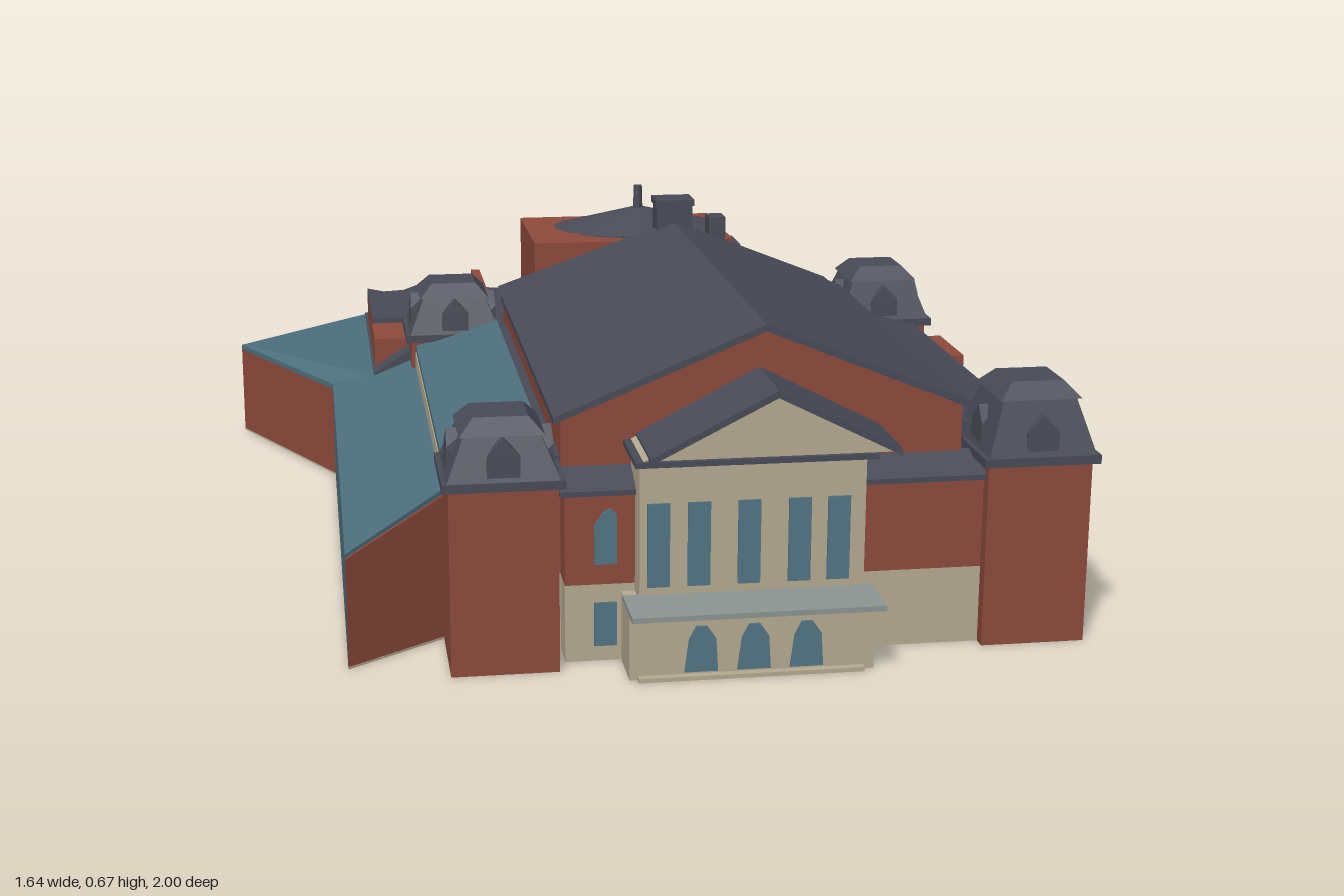
import * as THREE from 'three';
import { ConvexGeometry } from 'three/addons/geometries/ConvexGeometry.js';

const mat = (name, color) => Object.assign(new THREE.MeshStandardMaterial({ color }), { name });

export function createModel() {
  const root = new THREE.Group();
  root.name = 'hall';
  const brick = mat('brick red', 0x8e4b3c);
  const cream = mat('cream stone', 0xb7ac92);
  const slate = mat('slate roof', 0x494c58);
  const teal = mat('teal roof', 0x4c6f7c);
  const glass = mat('window glass', 0x527685);
  const stone = mat('grey stone', 0x8d9693);

  const add = (name, geometry, material, parent = root) => {
    const mesh = new THREE.Mesh(geometry, material);
    mesh.name = name;
    parent.add(mesh);
    return mesh;
  };
  // Box given by its limits on each axis
  const box = (name, m, x0, x1, y0, y1, z0, z1, parent) =>
    add(name, new THREE.BoxGeometry(x1 - x0, y1 - y0, z1 - z0)
      .translate((x0 + x1) / 2, (y0 + y1) / 2, (z0 + z1) / 2), m, parent);
  // Ground plan of [x, z] points raised from y0 to y1
  const plan = (name, m, pts, y0, y1, holes = []) => {
    const flip = (list) => list.map(([x, z]) => new THREE.Vector2(x, -z));
    const shape = new THREE.Shape(flip(pts));
    holes.forEach((h) => shape.holes.push(new THREE.Path(flip(h))));
    const g = new THREE.ExtrudeGeometry(shape, { depth: y1 - y0, bevelEnabled: false });
    return add(name, g.rotateX(-Math.PI / 2).translate(0, y0, 0), m);
  };
  // Cross-section of [x, y] points drawn along z
  const section = (name, m, pts, z0, z1) => {
    const shape = new THREE.Shape(pts.map(([x, y]) => new THREE.Vector2(x, y)));
    const g = new THREE.ExtrudeGeometry(shape, { depth: z1 - z0, bevelEnabled: false });
    return add(name, g.translate(0, 0, z0), m);
  };
  const hull = (name, m, pts) =>
    add(name, new ConvexGeometry(pts.map((p) => new THREE.Vector3(...p))), m);
  const faceted = (g) => {
    const flat = g.toNonIndexed();
    flat.computeVertexNormals();
    return flat;
  };
  // Square frustum with half widths
  const frustum = (name, m, bottom, top, y0, y1, parent) =>
    add(name, faceted(new THREE.CylinderGeometry(top * Math.SQRT2, bottom * Math.SQRT2, y1 - y0, 4)
      .rotateY(Math.PI / 4).translate(0, (y0 + y1) / 2, 0)), m, parent);

  // Curved apse and scalloped rear outline
  const apse = [];
  for (let i = 0; i <= 16; i++) {
    const a = (Math.PI * i) / 16;
    apse.push([0.15 + 0.28 * Math.cos(a), -0.64 - 0.285 * Math.sin(a)]);
  }
  const rearLeft = [[-0.13, -0.86], [-0.19, -0.87], [-0.25, -0.93], [-0.37, -0.93],
    [-0.41, -0.87], [-0.46, -0.86], [-0.5, -0.9]];
  const footprint = [[-0.5, -0.4], [-0.4, -0.4], [-0.4, 0.76], [-0.2, 0.76], [-0.2, 0.83], [0.59, 0.83],
    [0.59, 0.76], [0.74, 0.76], [0.74, 0.67], [0.82, 0.67], [0.82, 0.48], [0.74, 0.48],
    [0.74, -0.06], [0.82, -0.06], [0.82, -0.25], [0.74, -0.25], [0.74, -0.4], [0.6, -0.4],
    [0.6, -0.89], [0.47, -0.92], [0.43, -0.87], ...apse, ...rearLeft];
  const courts = [-0.09, 0.35].map((x) =>
    [[x, -0.53], [x + 0.065, -0.53], [x + 0.065, -0.41], [x, -0.41]]);
  plan('groundFloorWalls', cream, footprint, 0, 0.15, courts);
  plan('upperWalls', brick, footprint, 0.15, 0.33, courts);
  plan('rearRoof', slate, [[0.43, -0.56], ...apse, ...rearLeft, [-0.5, -0.56]], 0.33, 0.342);

  // Main hall with a pitched roof
  box('hallWalls', brick, -0.2, 0.56, 0.33, 0.45, -0.36, 0.775);
  section('hallGable', brick, [[-0.2, 0.45], [0.56, 0.45], [0.18, 0.608]], -0.25, 0.775);
  section('hallRoof', slate, [[-0.215, 0.447], [0.18, 0.609], [0.575, 0.447],
    [0.575, 0.46], [0.18, 0.622], [-0.215, 0.46]], -0.25, 0.787);
  hull('hallHip', slate, [[0.18, 0.622, -0.25], [-0.21, 0.45, -0.25], [0.57, 0.45, -0.25],
    [-0.21, 0.45, -0.39], [0.57, 0.45, -0.39]]);
  box('ridgeChimney', slate, 0.14, 0.22, 0.57, 0.66, -0.29, -0.22);
  box('ridgeChimneyCap', slate, 0.136, 0.224, 0.66, 0.674, -0.294, -0.216);
  box('rearChimney', slate, 0.31, 0.35, 0.4, 0.58, -0.55, -0.495);

  // Side wing and front eave roofs
  section('rightWingRoof', slate, [[0.56, 0.33], [0.755, 0.33], [0.755, 0.36], [0.56, 0.41]], -0.28, 0.72);
  section('leftWingRoof', teal, [[-0.41, 0.325], [-0.225, 0.325], [-0.225, 0.4], [-0.41, 0.345]], -0.27, 0.7);
  box('leftGutter', slate, -0.225, -0.2, 0.33, 0.38, -0.3, 0.76);
  box('leftParapet', cream, -0.412, -0.4, 0.2, 0.33, -0.4, 0.7);
  box('rightParapet', brick, 0.56, 0.572, 0.33, 0.42, -0.3, 0.19);
  hull('frontEave', slate, [[-0.21, 0.325, 0.845], [0.6, 0.325, 0.845], [-0.21, 0.335, 0.845], [0.6, 0.335, 0.845],
    [-0.21, 0.325, 0.77], [0.6, 0.325, 0.77], [-0.21, 0.365, 0.77], [0.6, 0.365, 0.77]]);

  // Corner towers with mansard caps
  const towers = [[-0.315, 0.785, 0.48], [0.69, 0.767, 0.505], [0.685, -0.355, 0.49], [-0.32, -0.35, 0.48]];
  for (const [x, z, top] of towers) {
    const tower = new THREE.Group();
    tower.name = 'cornerTower';
    tower.position.set(x, 0, z);
    root.add(tower);
    box('towerWalls', brick, -0.1, 0.1, 0, 0.355, -0.09, 0.09, tower);
    box('towerEave', slate, -0.112, 0.112, 0.355, 0.372, -0.104, 0.104, tower);
    frustum('towerMansard', slate, 0.103, 0.07, 0.372, top - 0.03, tower);
    frustum('towerCrown', slate, 0.078, 0.05, top - 0.03, top, tower);
    for (let i = 0; i < 4; i++) {
      const dormer = add('towerDormer', new ConvexGeometry([[-0.03, 0.375, 0.1], [0.03, 0.375, 0.1],
        [0.03, 0.42, 0.098], [-0.03, 0.42, 0.098], [0, 0.45, 0.096], [-0.03, 0.375, 0.05],
        [0.03, 0.375, 0.05], [0, 0.45, 0.05]].map((p) => new THREE.Vector3(...p))), slate, tower);
      dormer.rotation.y = (i * Math.PI) / 2;
    }
  }

  // Front portico, porch, balcony and pediment
  box('porticoBody', cream, -0.07, 0.35, 0.13, 0.405, 0.78, 0.885);
  box('porch', cream, -0.095, 0.36, 0, 0.135, 0.8, 0.935);
  box('porchStep', cream, -0.08, 0.34, 0, 0.008, 0.93, 0.95);
  box('balcony', stone, -0.1, 0.365, 0.135, 0.145, 0.88, 1);
  box('cornice', slate, -0.085, 0.36, 0.402, 0.412, 0.78, 0.935);
  section('pediment', cream, [[-0.07, 0.412], [0.39, 0.412], [0.17, 0.525]], 0.74, 0.925);
  section('pedimentRoof', slate, [[-0.06, 0.41], [0.17, 0.526], [0.4, 0.41],
    [0.4, 0.422], [0.17, 0.54], [-0.06, 0.422]], 0.74, 0.947);

  // Windows: thin plates on the front and right walls
  const frontWindow = (x, w, y0, y1, z) =>
    box('frontWindow', glass, x - w / 2, x + w / 2, y0, y1, z - 0.003, z + 0.004);
  [-0.035, 0.04, 0.133, 0.227, 0.3].forEach((x) => frontWindow(x, 0.042, 0.16, 0.32, 0.885));
  frontWindow(-0.125, 0.042, 0.03, 0.115, 0.83);
  section('archedWindow', glass, [[-0.146, 0.19], [-0.104, 0.19], [-0.104, 0.285],
    [-0.115, 0.297], [-0.13, 0.29], [-0.146, 0.265]], 0.828, 0.835);
  for (const x of [0.037, 0.135, 0.233]) {
    section('porchArch', glass, [[x - 0.031, 0.012], [x + 0.031, 0.012], [x + 0.027, 0.075],
      [x + 0.01, 0.1], [x - 0.01, 0.1], [x - 0.023, 0.075]], 0.932, 0.939);
  }
  for (const [z, x] of [[0.58, 0.82], [0.01, 0.74], [-0.16, 0.82], [-0.5, 0.6], [-0.655, 0.6]]) {
    box('sideWindowUpper', glass, x - 0.003, x + 0.004, 0.2, 0.3, z - 0.024, z + 0.024);
    box('sideWindowLower', glass, x - 0.003, x + 0.004, 0.03, 0.12, z - 0.022, z + 0.022);
  }

  // Rear square tower with an oval lantern roof
  box('rearTower', brick, -0.105, 0.38, 0.335, 0.515, -0.9, -0.56);
  box('rearTowerVent', slate, 0.15, 0.23, 0.37, 0.43, -0.905, -0.897);
  const oval = (name, top, bottom, y0, y1) =>
    add(name, faceted(new THREE.CylinderGeometry(top, bottom, y1 - y0, 18)
      .scale(1, 1, 0.73).translate(0.17, (y0 + y1) / 2, -0.715)), slate);
  oval('ovalDrum', 0.17, 0.17, 0.51, 0.528);
  oval('ovalRoof', 0.02, 0.21, 0.524, 0.57);
  oval('finial', 0.01, 0.012, 0.565, 0.625);

  // Rear link roofs
  box('linkRoof', slate, -0.025, 0.35, 0.33, 0.42, -0.56, -0.36);
  section('rightLinkRoof', slate, [[0.415, 0.33], [0.612, 0.33], [0.612, 0.345], [0.415, 0.42]], -0.7, -0.36);
  hull('towerSideRoof', slate, [[0.37, 0.33, -0.58], [0.45, 0.33, -0.6], [0.45, 0.33, -0.82], [0.37, 0.33, -0.84],
    [0.37, 0.48, -0.65], [0.42, 0.48, -0.66], [0.42, 0.48, -0.77], [0.37, 0.48, -0.78]]);
  box('leftLinkRoof', slate, -0.24, -0.09, 0.33, 0.37, -0.56, -0.36);
  box('leftLinkParapet', brick, -0.25, -0.23, 0.33, 0.43, -0.68, -0.4);
  section('skylight', teal, [[-0.38, 0.33], [-0.25, 0.33], [-0.25, 0.41], [-0.38, 0.36]], -0.69, -0.46);

  // Low glazed lean-to along the left side
  plan('leanToBase', cream, [[-0.6, 0.81], [-0.4, 0.67], [-0.4, -0.85], [-0.505, -1], [-0.82, -0.83], [-0.6, -0.41]], 0, 0.004);
  const ends = [[-0.6, 0.22, 0.8], [-0.4, 0.3, 0.66]];
  hull('leanTo', teal, [...ends, [-0.6, 0.004, 0.8], [-0.4, 0.004, 0.66],
    [-0.6, 0.22, -0.41], [-0.4, 0.3, -0.41], [-0.6, 0.004, -0.41], [-0.4, 0.004, -0.41]]);
  hull('leanToFront', brick, [0, 0.009].flatMap((d) => [[-0.6, 0.004, 0.8 + d], [-0.4, 0.004, 0.66 + d],
    [-0.6, 0.213, 0.8 + d], [-0.4, 0.29, 0.66 + d]]));

  // Splayed wing at the rear left
  plan('splayedWing', brick, [[-0.82, -0.83], [-0.505, -1], [-0.42, -0.87], [-0.42, -0.4], [-0.6, -0.41]], 0.004, 0.21);
  hull('splayedRoof', teal, [[-0.82, 0.21, -0.83], [-0.82, 0.222, -0.83], [-0.505, 0.21, -1], [-0.505, 0.252, -1],
    [-0.6, 0.21, -0.41], [-0.6, 0.222, -0.41], [-0.505, 0.21, -0.35], [-0.505, 0.256, -0.35]]);
  hull('splayedRidge', slate, [[-0.505, 0.21, -1], [-0.505, 0.256, -1], [-0.505, 0.262, -0.34], [-0.505, 0.21, -0.34],
    [-0.4, 0.21, -0.86], [-0.4, 0.3, -0.86], [-0.4, 0.33, -0.34], [-0.4, 0.21, -0.34]]);
  return root;
}
